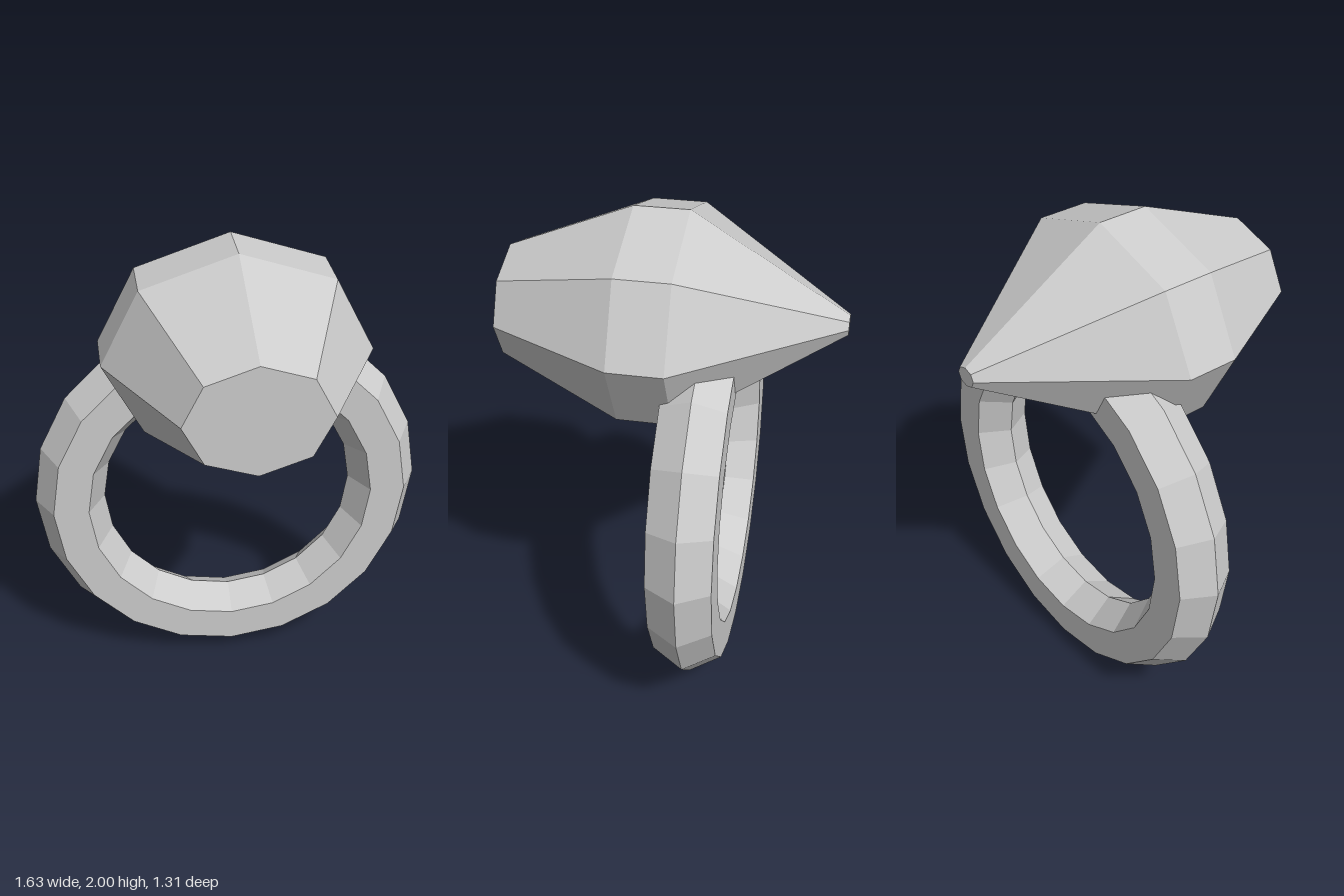
import * as THREE from 'three';

const greyMetal = new THREE.MeshStandardMaterial({ color: 0xcccccc });

// Faceted mesh: every face gets its own normal
function facetedMesh(name, geometry) {
  const flat = geometry.toNonIndexed();
  flat.computeVertexNormals();
  const mesh = new THREE.Mesh(flat, greyMetal);
  mesh.name = name;
  return mesh;
}

export function createModel() {
  const group = new THREE.Group();
  group.name = 'gemRing';

  // Band: hexagonal section swept round twenty segments
  const band = facetedMesh('band', new THREE.TorusGeometry(0.67, 0.145, 6, 20));
  band.position.set(0, 0.818, -0.137);
  group.add(band);

  // Gem: eight-sided, flat table at the front, tapering to a blunt tip at the back
  const profile = [
    [0, -0.655], [0.048, -0.655], [0.516, -0.045],
    [0.516, 0.168], [0.27, 0.655], [0, 0.655],
  ].map(([r, z]) => new THREE.Vector2(r, z));
  const gemShape = new THREE.LatheGeometry(profile, 8);
  gemShape.rotateX(Math.PI / 2);
  gemShape.scale(1, 0.8, 1);
  const gem = facetedMesh('gem', gemShape);
  gem.position.y = 1.587;
  group.add(gem);

  return group;
}
